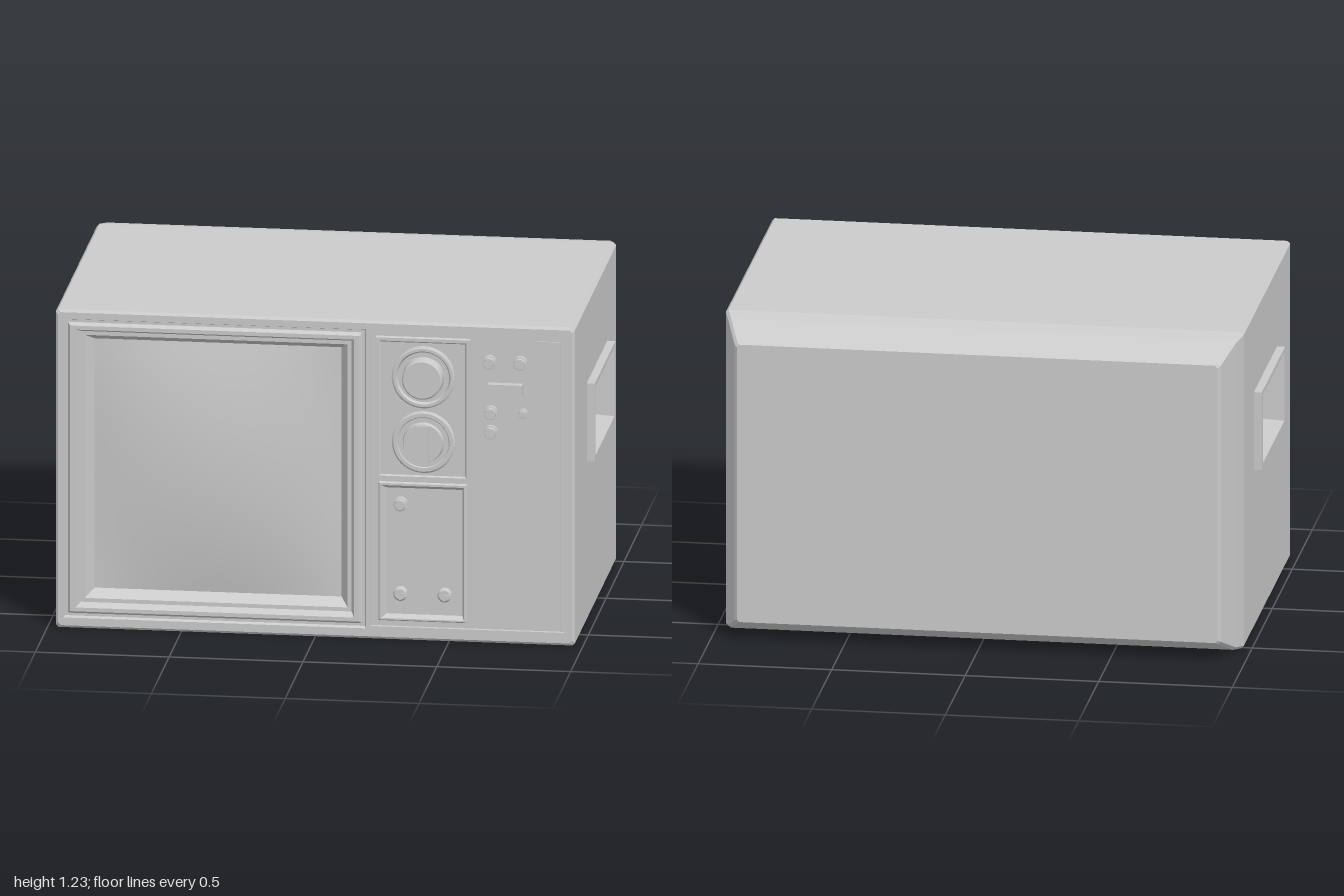
import * as THREE from 'three';
import { toCreasedNormals } from 'three/addons/utils/BufferGeometryUtils.js';

const grey = new THREE.MeshStandardMaterial({ color: 0xcccccc });

function add(parent, name, geometry) {
  const mesh = new THREE.Mesh(geometry, grey);
  mesh.name = name;
  parent.add(mesh);
  return mesh;
}

// Corner points of a rectangle, counter-clockwise, with optional cut corners
function ring([x0, x1, y0, y1], c = 0) {
  if (!c) return [[x0, y0], [x1, y0], [x1, y1], [x0, y1]];
  return [[x0 + c, y0], [x1 - c, y0], [x1, y0 + c], [x1, y1 - c],
    [x1 - c, y1], [x0 + c, y1], [x0, y1 - c], [x0, y0 + c]];
}

// Walls joining successive rectangles [x0, x1, y0, y1, z], flat shaded
function loft(sections, { c = 0, capStart = false, capEnd = false, skip = () => false } = {}) {
  const rings = sections.map(s => ring(s, c).map(([x, y]) => [x, y, s[4]]));
  const n = rings[0].length, pos = [];
  const tri = (...p) => p.forEach(v => pos.push(...v));
  for (let s = 0; s < rings.length - 1; s++) {
    for (let i = 0; i < n; i++) {
      if (skip(s, i)) continue;
      const a = rings[s], b = rings[s + 1], j = (i + 1) % n;
      tri(a[i], a[j], b[j]);
      tri(a[i], b[j], b[i]);
    }
  }
  const first = rings[0], last = rings[rings.length - 1];
  for (let i = 1; i < n - 1; i++) {
    if (capStart) tri(first[0], first[i + 1], first[i]);
    if (capEnd) tri(last[0], last[i], last[i + 1]);
  }
  const g = new THREE.BufferGeometry();
  g.setAttribute('position', new THREE.Float32BufferAttribute(pos, 3));
  g.computeVertexNormals();
  return g;
}

// Flat sheet facing +z with rectangular openings
function plate(rect, z, holes, c = 0) {
  const toPoints = (r, k) => ring(r, k).map(([x, y]) => new THREE.Vector2(x, y));
  const shape = new THREE.Shape(toPoints(rect, c));
  holes.forEach(h => shape.holes.push(new THREE.Path(toPoints(h, 0).reverse())));
  return new THREE.ShapeGeometry(shape).translate(0, 0, z);
}

// Turned part facing +z, from [radius, height] points
function turned(parent, name, x, y, z, profile, sides = 32) {
  const points = profile.map(([r, h]) => new THREE.Vector2(r, h));
  const g = new THREE.LatheGeometry(points, sides).rotateX(Math.PI / 2);
  return add(parent, name, toCreasedNormals(g, 0.5).translate(x, y, z));
}

function box(parent, name, x, y, z, w, h, d) {
  return add(parent, name, new THREE.BoxGeometry(w, h, d).translate(x, y, z));
}

function createBody(model) {
  // Cabinet shell, tapered at the back; straight side walls are added separately
  add(model, 'cabinet', loft([
    [-0.90, 0.90, 0.075, 1.15, -0.70],
    [-0.91, 0.91, 0.068, 1.157, -0.69],
    [-0.95, 0.95, 0.013, 1.212, -0.575],
    [-0.97, 0.97, 0, 1.225, -0.51],
    [-0.97, 0.97, 0, 1.225, 0.65],
    [-0.96, 0.96, 0.01, 1.215, 0.66],
  ], { c: 0.01, capStart: true, skip: (s, i) => s === 3 && (i === 2 || i === 6) }));

  // Side walls with recessed carrying handles
  for (const side of [1, -1]) {
    const group = new THREE.Group();
    group.name = side > 0 ? 'leftSide' : 'rightSide';
    group.rotation.y = side * Math.PI / 2;
    model.add(group);
    const span = (z0, z1) => side > 0 ? [-z1, -z0] : [z0, z1];
    const rim = [...span(-0.26, 0.32), 0.617, 0.917];
    const lip = [...span(-0.235, 0.305), 0.635, 0.90];
    add(group, 'sideWall', plate([...span(-0.51, 0.65), 0.01, 1.215], 0.97, [rim]));
    add(group, 'handleRecess', loft([
      [...rim, 0.97], [...rim, 1.0], [...lip, 1.0],
      [...span(-0.22, 0.29), 0.65, 0.89, 0.82],
    ], { capEnd: true }));
    // Finger grips under the recess ceiling
    for (const z of [-0.09, 0.16]) {
      box(group, 'fingerGrip', -side * z, 0.89, 0.95, 0.22, 0.012, 0.03);
    }
  }
}

const SCREEN_OPENING = [-0.94, 0.19, 0.04, 1.19];
const PANEL_OPENING = [0.205, 0.93, 0.05, 1.17];

function createScreen(model) {
  // Stepped bezel
  add(model, 'screenBezel', loft([
    [...SCREEN_OPENING, 0.66],
    [-0.935, 0.185, 0.045, 1.185, 0.645],
    [-0.925, 0.175, 0.055, 1.175, 0.645],
    [-0.915, 0.165, 0.065, 1.165, 0.66],
    [-0.895, 0.145, 0.08, 1.15, 0.66],
    [-0.88, 0.132, 0.093, 1.136, 0.625],
    [-0.865, 0.117, 0.108, 1.121, 0.625],
    [-0.835, 0.088, 0.135, 1.095, 0.575],
  ]));
  // Bulging picture tube
  const w = 0.923, h = 0.96;
  const g = new THREE.PlaneGeometry(w, h, 20, 20);
  const p = g.attributes.position;
  for (let i = 0; i < p.count; i++) {
    const u = 2 * p.getX(i) / w, v = 2 * p.getY(i) / h;
    p.setZ(i, 0.05 * (1 - u * u) * (1 - v * v));
  }
  g.computeVertexNormals();
  add(model, 'screen', g.translate(-0.3735, 0.615, 0.575));
}

function createControls(model) {
  const z = 0.645;
  const door = [0.235, 0.565, 0.07, 0.605];
  add(model, 'panelEdge', loft([[...PANEL_OPENING, 0.66], [...PANEL_OPENING, z]]));
  add(model, 'controlPanel', plate(PANEL_OPENING, z, [door]));
  add(model, 'doorRecess', loft([
    [...door, z], [0.24, 0.56, 0.075, 0.6, 0.652], [0.245, 0.555, 0.08, 0.592, 0.652],
    [0.262, 0.545, 0.09, 0.575, 0.62],
  ], { capEnd: true }));
  add(model, 'knobPlate', loft([
    [0.225, 0.58, 0.615, 1.165, z], [0.228, 0.577, 0.618, 1.162, 0.658],
    [0.24, 0.565, 0.63, 1.15, 0.658], [0.245, 0.56, 0.635, 1.145, 0.652],
  ], { capEnd: true }));
  box(model, 'trimStrip', 0.872, 0.61, z, 0.085, 1.11, 0.012);

  // Large tuning knobs
  turned(model, 'upperKnob', 0.405, 1.015, 0.652, [
    [0.118, 0], [0.118, 0.014], [0.112, 0.018], [0.102, 0.018], [0.096, 0.008],
    [0.078, 0.008], [0.075, 0.048], [0.07, 0.053], [0, 0.053]], 48);
  turned(model, 'lowerKnob', 0.405, 0.765, 0.652, [
    [0.118, 0], [0.118, 0.01], [0.112, 0.015], [0.098, 0.015], [0.095, 0.011],
    [0.077, 0.011], [0.073, 0.028], [0, 0.028]], 48);
  box(model, 'knobGrip', 0.405, 0.765, 0.68, 0.045, 0.14, 0.028);

  // Small knobs and slide switch
  for (const [x, y, r, h] of [[0.65, 1.08, 0.027, 0.027], [0.765, 1.08, 0.027, 0.027],
    [0.655, 0.885, 0.027, 0.025], [0.775, 0.885, 0.02, 0.02], [0.655, 0.81, 0.027, 0.025]]) {
    turned(model, 'smallKnob', x, y, z, [
      [r, 0], [r, h * 0.5], [r * 0.75, h * 0.55], [r * 0.7, h], [0, h]], 24);
  }
  box(model, 'slideSwitch', 0.71, 0.978, 0.66, 0.13, 0.044, 0.03);

  // Door button and cross-head screws
  turned(model, 'doorButton', 0.315, 0.515, 0.62, [
    [0.027, 0], [0.027, 0.015], [0.019, 0.018], [0.018, 0.03], [0, 0.03]], 24);
  for (const x of [0.315, 0.48]) {
    turned(model, 'doorScrew', x, 0.17, 0.62, [
      [0.027, 0], [0.027, 0.014], [0.02, 0.02], [0, 0.02]], 24);
    box(model, 'screwCross', x, 0.17, 0.639, 0.04, 0.007, 0.008);
    box(model, 'screwCross', x, 0.17, 0.639, 0.007, 0.04, 0.008);
  }
}

export function createModel() {
  const model = new THREE.Group();
  model.name = 'television';
  createBody(model);
  add(model, 'frontFrame', plate([-0.96, 0.96, 0.01, 1.215], 0.66, [SCREEN_OPENING, PANEL_OPENING], 0.01));
  createScreen(model);
  createControls(model);
  return model;
}
